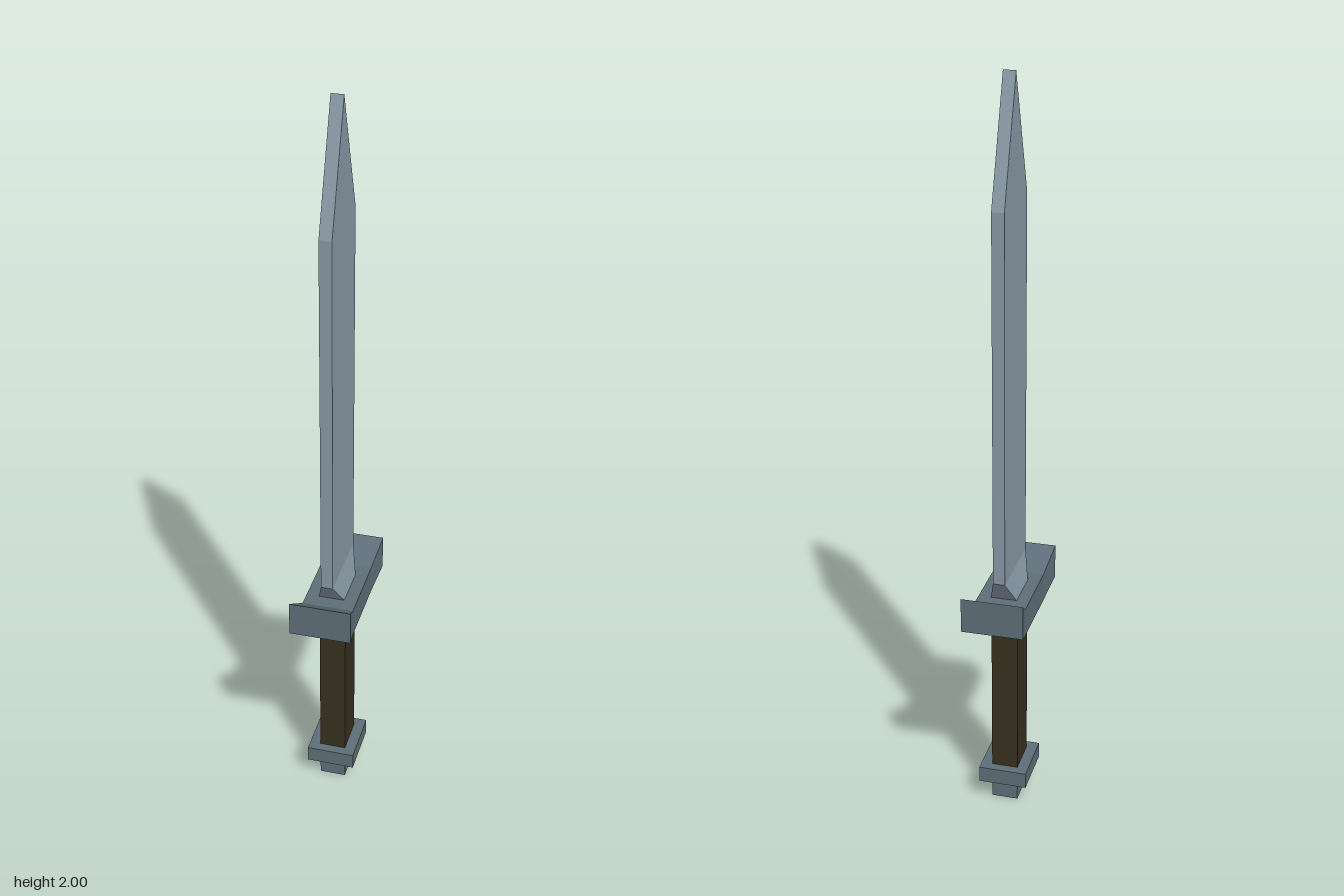
import * as THREE from 'three';

const steel = new THREE.MeshStandardMaterial({ color: 0x8899a6, flatShading: true });
const iron = new THREE.MeshStandardMaterial({ color: 0x5f6e78, flatShading: true });
const leather = new THREE.MeshStandardMaterial({ color: 0x36301f, flatShading: true });

// Skin four-cornered rings (counterclockwise seen from the last ring) and cap both ends
function loft(rings) {
  const pos = [];
  const quad = (a, b, c, d) => pos.push(...a, ...b, ...c, ...a, ...c, ...d);
  for (let r = 0; r < rings.length - 1; r++) {
    for (let i = 0; i < 4; i++) {
      const j = (i + 1) % 4;
      quad(rings[r][i], rings[r][j], rings[r + 1][j], rings[r + 1][i]);
    }
  }
  quad(...[...rings[0]].reverse());
  quad(...rings[rings.length - 1]);
  const geo = new THREE.BufferGeometry();
  geo.setAttribute('position', new THREE.Float32BufferAttribute(pos, 3));
  geo.computeVertexNormals();
  return geo;
}

// Rectangular rings: one lying flat at height y, one upright at depth z
const flatRing = ([y, w, d]) => [[w, y, d], [w, y, -d], [-w, y, -d], [-w, y, d]];
const uprightRing = ([z, w, y0, y1]) => [[w, y0, z], [w, y1, z], [-w, y1, z], [-w, y0, z]];

export function createModel() {
  const model = new THREE.Group();
  model.name = 'sword';

  const add = (name, geometry, material) => {
    const mesh = new THREE.Mesh(geometry, material);
    mesh.name = name;
    model.add(mesh);
  };
  const addBlock = (name, y0, y1, w, d, material) => {
    const geo = new THREE.BoxGeometry(2 * w, y1 - y0, 2 * d);
    geo.translate(0, (y0 + y1) / 2, 0);
    add(name, geo, material);
  };

  // Blade: thick narrow root, flat body, wedge tip
  add('blade', loft([
    [0.63, 0.037, 0.055],
    [0.705, 0.016, 0.108],
    [1.69, 0.016, 0.108],
    [2.0, 0.016, 0],
  ].map(flatRing)), steel);

  // Crossguard: flat centre with flared, upswept ends
  add('crossguard', loft([
    [-0.178, 0.083, 0.592, 0.688],
    [-0.1, 0.069, 0.557, 0.637],
    [0.1, 0.069, 0.557, 0.637],
    [0.178, 0.083, 0.592, 0.688],
  ].map(uprightRing)), iron);

  // Handle and pommel
  addBlock('grip', 0.105, 0.557, 0.036, 0.052, leather);
  addBlock('pommelPlate', 0.06, 0.105, 0.066, 0.078, iron);
  addBlock('pommelCap', 0, 0.06, 0.036, 0.052, iron);

  return model;
}
